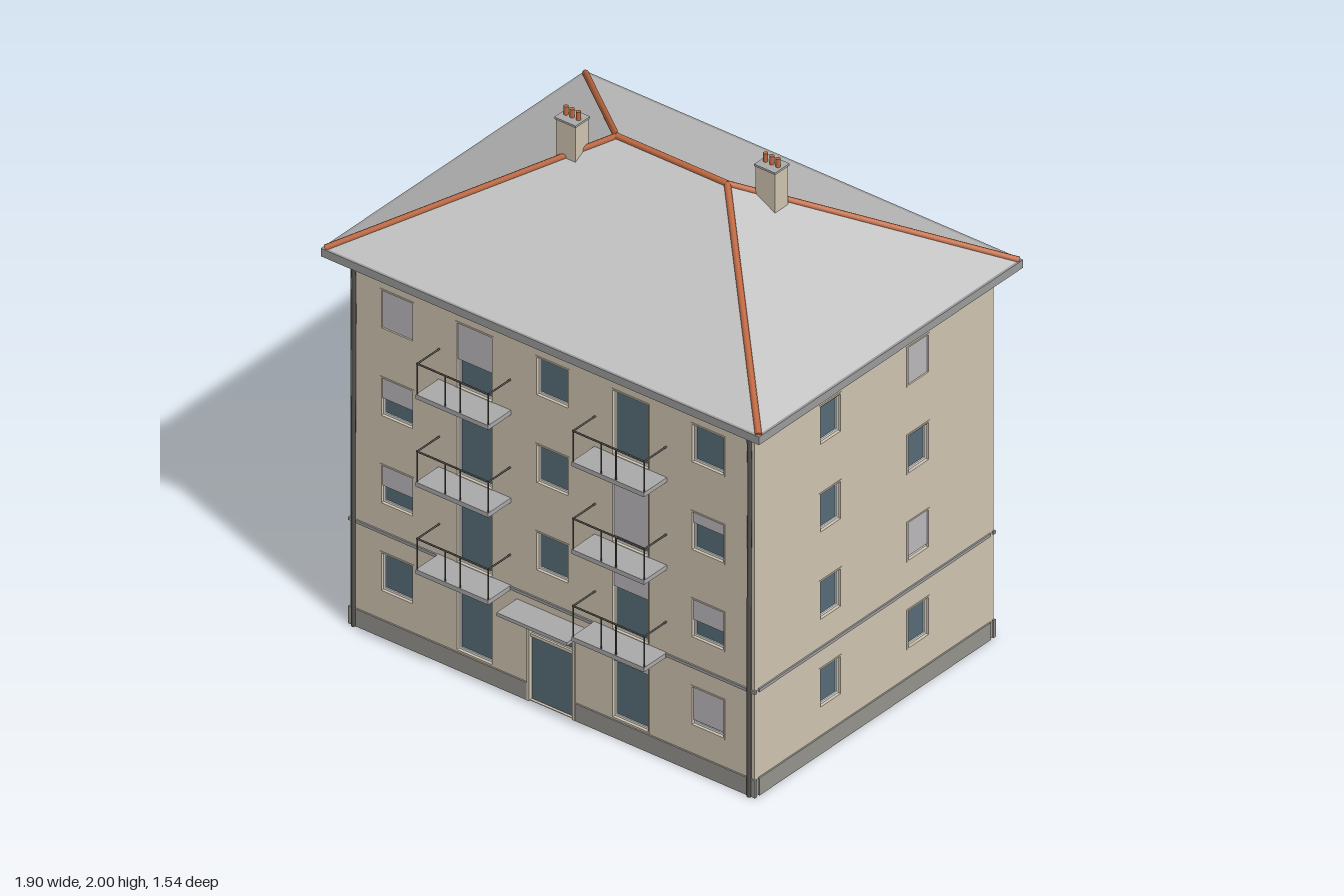
import * as THREE from 'three';

const material = (name, color, side = THREE.FrontSide) => {
  const m = new THREE.MeshStandardMaterial({ color, side });
  m.name = name;
  return m;
};

const W = 0.876, D = 0.646, T = 0.025, WALL_TOP = 1.49;   // half width, half depth, wall thickness
const EX = 0.95, EZ = 0.715, EAVE = 1.51, RIDGE = 1.888, RX = 0.24;
const ROW_TOP = [1.395, 1.043, 0.692, 0.34];

export function createModel() {
  const M = {
    wall: material('render beige', 0xd0c5b1),
    plinth: material('plinth grey', 0x96948e),
    roof: material('roof grey', 0xc2c2c2),
    eave: material('eave grey', 0x9c9c9c),
    tile: material('terracotta', 0xc06a42),
    glass: material('blue grey glass', 0x586c77),
    blind: material('blind grey', 0xbcb9bc),
    frame: material('frame white', 0xf2f2f0),
    slab: material('concrete grey', 0xaaaaaa),
    metal: material('dark metal', 0x55534f),
  };
  const model = new THREE.Group();
  model.name = 'apartmentBuilding';

  const add = (parent, name, geo, mat, x = 0, y = 0, z = 0) => {
    const mesh = new THREE.Mesh(geo, mat);
    mesh.name = name;
    mesh.position.set(x, y, z);
    parent.add(mesh);
    return mesh;
  };
  const box = (parent, name, mat, w, h, d, x, y, z) =>
    add(parent, name, new THREE.BoxGeometry(w, h, d), mat, x, y, z);
  const rod = (parent, name, mat, a, b, r, sides = 8) => {
    const p = new THREE.Vector3(...a), q = new THREE.Vector3(...b);
    const dir = q.clone().sub(p);
    const mesh = add(parent, name, new THREE.CylinderGeometry(r, r, dir.length(), sides), mat);
    mesh.position.copy(p).add(q).multiplyScalar(0.5);
    mesh.quaternion.setFromUnitVectors(new THREE.Vector3(0, 1, 0), dir.normalize());
    return mesh;
  };
  const rect = (Kind, x0, y0, x1, y1) => {
    const s = new Kind();
    s.moveTo(x0, y0); s.lineTo(x1, y0); s.lineTo(x1, y1); s.lineTo(x0, y1); s.closePath();
    return s;
  };
  const ring = (w, h, t, depth) => {
    const s = rect(THREE.Shape, -w / 2, -h / 2, w / 2, h / 2);
    s.holes.push(rect(THREE.Path, -w / 2 + t, -h / 2 + t, w / 2 - t, h / 2 - t));
    return new THREE.ExtrudeGeometry(s, { depth, bevelEnabled: false });
  };

  // Window or balcony door set into a wall opening; blind is the covered fraction
  const glazing = (side, name, o) => {
    const g = new THREE.Group();
    g.name = name;
    g.position.set(o.u, o.top - o.h / 2, 0);
    side.add(g);
    add(g, 'surround', ring(o.w + 0.004, o.h + 0.004, 0.006, 0.016), M.wall, 0, 0, -0.014);
    add(g, 'frame', ring(o.w - 0.008, o.h - 0.008, 0.008, 0.01), M.frame, 0, 0, -0.02);
    box(g, 'glass', M.glass, o.w - 0.01, o.h - 0.01, 0.004, 0, 0, -0.017);
    if (o.blind) {
      const bh = (o.h - 0.006) * o.blind;
      box(g, 'rollerBlind', M.blind, o.w - 0.004, bh, 0.006, 0, o.h / 2 - 0.003 - bh / 2, -0.007);
    }
  };

  // House door with a transom light above
  const houseDoor = (side, o) => {
    const g = new THREE.Group();
    g.name = 'entrance';
    g.position.set(o.u, 0, 0);
    side.add(g);
    const split = o.transom ? o.top - 0.07 : o.top - 0.01;
    for (const s of [-1, 1])
      box(g, 'doorJamb', M.wall, 0.01, o.top, 0.032, s * (o.w / 2 - 0.004), o.top / 2, -0.009);
    box(g, 'doorHead', M.wall, o.w, 0.01, 0.032, 0, o.top - 0.005, -0.009);
    box(g, 'doorLeaf', M.glass, o.w - 0.016, split, 0.01, 0, split / 2, -0.015);
    if (o.transom) {
      box(g, 'transomBar', M.wall, o.w - 0.016, 0.012, 0.018, 0, split, -0.011);
      add(g, 'transomFrame', ring(o.w - 0.018, 0.054, 0.006, 0.008), M.frame, 0, o.top - 0.037, -0.018);
      box(g, 'transomGlass', M.glass, o.w - 0.02, 0.05, 0.006, 0, o.top - 0.037, -0.016);
    }
  };

  // Balcony: slab, corner and middle posts, handrail
  const balcony = (side, u, y) => {
    const g = new THREE.Group();
    g.name = 'balcony';
    g.position.set(u, y, 0);
    side.add(g);
    const hw = 0.157, out = 0.122, h = 0.122;
    box(g, 'balconySlab', M.slab, hw * 2, 0.018, out + 0.003, 0, -0.009, out / 2);
    for (const x of [-hw + 0.003, -0.032, 0.032, hw - 0.003])
      rod(g, 'railPost', M.metal, [x, -0.005, out - 0.003], [x, h, out - 0.003], 0.0028, 6);
    rod(g, 'handrail', M.metal, [-hw, h, out - 0.003], [hw, h, out - 0.003], 0.0035, 6);
    for (const s of [-1, 1])
      rod(g, 'sideRail', M.metal, [s * (hw - 0.003), h, 0], [s * (hw - 0.003), h, out], 0.0035, 6);
  };

  // One facade, drawn facing +z and then turned into place
  const facade = (name, angle, half, dist, cols, door) => {
    const side = new THREE.Group();
    side.name = name;
    side.rotation.y = angle;
    side.position.set(Math.sin(angle) * dist, 0, Math.cos(angle) * dist);
    model.add(side);
    const shape = rect(THREE.Shape, -half, 0, half, WALL_TOP);
    const cut = (o, low) =>
      shape.holes.push(rect(THREE.Path, o.u - o.w / 2, low, o.u + o.w / 2, o.top));
    for (const c of cols) c.blinds.forEach((blind, r) => {
      if (blind === null) return;
      const o = { u: c.u, w: c.w, h: c.tall ? 0.265 : 0.158, top: ROW_TOP[r], blind };
      cut(o, o.top - o.h);
      glazing(side, c.tall ? 'balconyDoor' : 'window', o);
      if (c.tall && r < 3) balcony(side, c.u, o.top - 0.263);
    });
    if (door) { cut(door, 0.003); houseDoor(side, door); }
    add(side, 'wall', new THREE.ExtrudeGeometry(shape, { depth: T, bevelEnabled: false }), M.wall, 0, 0, -T);
    // Plinth, leaving the doorway free, and the string course
    const end = half + 0.006;
    const runs = door ? [[-end, door.u - door.w / 2 - 0.002], [door.u + door.w / 2 + 0.002, end]] : [[-end, end]];
    for (const [a, b] of runs) box(side, 'plinth', M.plinth, b - a, 0.07, 0.012, (a + b) / 2, 0.035, 0);
    box(side, 'stringCourse', M.eave, end * 2, 0.012, 0.012, 0, 0.421, 0);
    return side;
  };

  // Columns run from the facade's own left to right, blinds from the top floor down
  const wide = list => list.map((blinds, i) => {
    const tall = i === 1 || i === 3;
    return { u: [-0.674, -0.338, 0, 0.338, 0.674][i], w: tall ? 0.16 : 0.143, tall, blinds };
  });
  const narrow = list => list.map((blinds, i) => ({ u: i ? 0.238 : -0.238, w: 0.118, blinds }));

  const front = facade('frontFacade', 0, W, D, wide([
    [1, 0.55, 0.55, 0], [0.57, 0, 0, 0.04], [0, 0, 0, null], [0, 0.9, 0.33, 0.13], [0, 0.3, 0.55, 0.88],
  ]), { u: -0.004, w: 0.206, top: 0.332, transom: true });
  facade('backFacade', Math.PI, W, D, wide([
    [0, 0.6, 1, 0.9], [0, 0, 0.85, 0], [0, 0, 0, null], [0.1, 0, 0.25, 0.4], [1, 0, 0.4, 0],
  ]), { u: 0, w: 0.14, top: 0.272 });
  facade('leftFacade', Math.PI / 2, D - T, W, narrow([[0.06, 0.05, 0, 0.04], [1, 0.06, 0.92, 0]]));
  facade('rightFacade', -Math.PI / 2, D - T, W, narrow([[0, 0.05, 0, 0], [0, 0.65, 0, 1]]));

  // Canopy over the entrance
  box(front, 'canopy', M.slab, 0.305, 0.014, 0.112, -0.003, 0.378, 0.054);

  // Downpipes at the front corners, bending out to the eave
  for (const s of [-1, 1]) {
    const path = new THREE.CatmullRomCurve3([[0.008, 0], [0.008, 0.7], [0.008, 1.43], [0.014, 1.46], [0.04, 1.49]]
      .map(([z, y]) => new THREE.Vector3(s * 0.858, y, z)));
    add(front, 'downpipe', new THREE.TubeGeometry(path, 24, 0.008, 8), M.metal);
  }

  // Hipped roof on an eave slab
  box(model, 'eave', M.eave, EX * 2, 0.032, EZ * 2, 0, EAVE - 0.016, 0);
  const rx = EX - 0.01, rz = EZ - 0.01;
  const A = [-rx, EAVE, rz], B = [rx, EAVE, rz], C = [rx, EAVE, -rz], E = [-rx, EAVE, -rz];
  const P = [-RX, RIDGE, 0], Q = [RX, RIDGE, 0];
  const roof = new THREE.BufferGeometry();
  roof.setAttribute('position', new THREE.Float32BufferAttribute(
    [A, B, Q, A, Q, P, B, C, Q, C, E, P, C, P, Q, E, A, P].flat(), 3));
  roof.computeVertexNormals();
  add(model, 'roof', roof, M.roof);

  // Ridge and hip tiles
  rod(model, 'ridgeTiles', M.tile, P, Q, 0.012);
  for (const [corner, top] of [[A, P], [E, P], [B, Q], [C, Q]])
    rod(model, 'hipTiles', M.tile, corner, top, 0.012);

  // Chimneys with a cap and three pots each
  for (const s of [-1, 1]) {
    const g = new THREE.Group();
    g.name = 'chimney';
    g.position.set(s * 0.356, 0, -s * 0.096);
    model.add(g);
    box(g, 'chimneyStack', M.wall, 0.084, 0.23, 0.07, 0, 1.845, 0);
    box(g, 'chimneyCap', M.slab, 0.092, 0.008, 0.078, 0, 1.963, 0);
    for (const x of [-0.027, 0, 0.027])
      add(g, 'chimneyPot', new THREE.CylinderGeometry(0.009, 0.009, 0.036, 10), M.tile, x, 1.982, 0);
  }
  return model;
}
